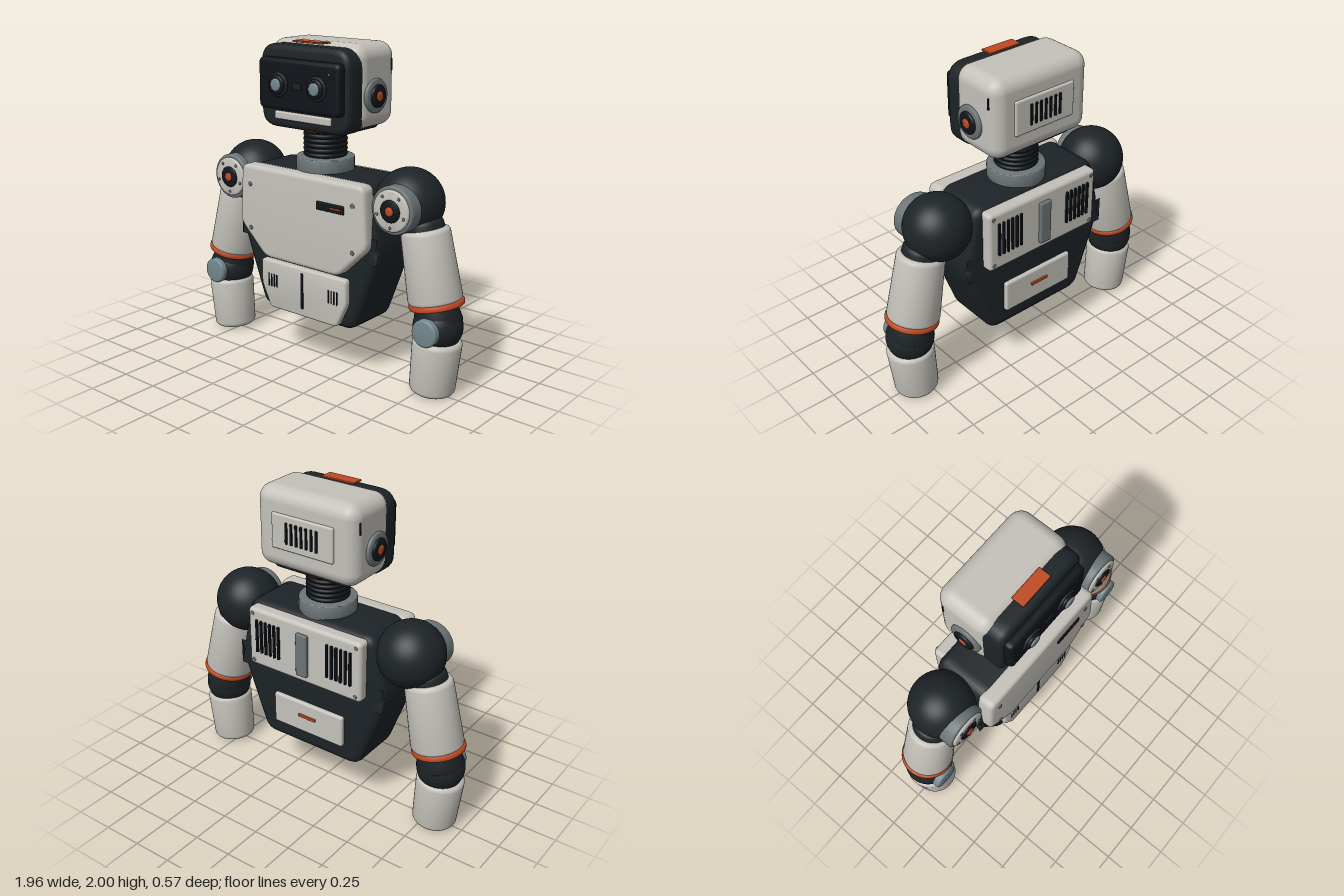
import * as THREE from 'three';
import { RoundedBoxGeometry } from 'three/addons/geometries/RoundedBoxGeometry.js';
import { toCreasedNormals } from 'three/addons/utils/BufferGeometryUtils.js';

const paint = (color) => new THREE.MeshStandardMaterial({ color });
const LIGHT = paint(0xc4c1ba), DARK = paint(0x1d2327), BLACK = paint(0x10151a);
const ORANGE = paint(0xc04a22), STEEL = paint(0x6c7476), GLASS = paint(0x72878d);

function add(parent, name, geo, mat, x = 0, y = 0, z = 0) {
  const m = new THREE.Mesh(geo, mat);
  m.name = name;
  m.position.set(x, y, z);
  parent.add(m);
  return m;
}

function group(parent, name) {
  const g = new THREE.Group();
  g.name = name;
  parent.add(g);
  return g;
}

// Rounded box given by its extents
function box(parent, name, mat, [x0, x1], [y0, y1], [z0, z1], r = 0.01, seg = 3) {
  const geo = new RoundedBoxGeometry(x1 - x0, y1 - y0, z1 - z0, seg, r);
  return add(parent, name, geo, mat, (x0 + x1) / 2, (y0 + y1) / 2, (z0 + z1) / 2);
}

// Bevelled slab with a mirrored outline; half holds the +x corners from top to bottom
function slab(parent, name, mat, half, z0, z1, bevel, corner) {
  const pts = [...half, ...half.map(([x, y]) => [-x, y]).reverse()].map((p) => new THREE.Vector2(...p));
  const shape = new THREE.Shape();
  pts.forEach((p, i) => {
    const prev = pts[(i + pts.length - 1) % pts.length], next = pts[(i + 1) % pts.length];
    const a = prev.clone().sub(p).setLength(corner).add(p);
    const b = next.clone().sub(p).setLength(corner).add(p);
    if (i) shape.lineTo(a.x, a.y); else shape.moveTo(a.x, a.y);
    shape.quadraticCurveTo(p.x, p.y, b.x, b.y);
  });
  shape.closePath();
  const geo = new THREE.ExtrudeGeometry(shape, {
    depth: z1 - z0 - 2 * bevel, bevelThickness: bevel, bevelSize: bevel,
    bevelOffset: -bevel, bevelSegments: 4, curveSegments: 6,
  });
  return add(parent, name, toCreasedNormals(geo, 0.6), mat, 0, 0, z0 + bevel);
}

// Disc between two depths along z, with softened rims
function disc(parent, name, mat, r, x, y, z0, z1) {
  const geo = roundedTube(r, r, z1 - z0, Math.min(0.012, (z1 - z0) * 0.4));
  geo.rotateX(Math.PI / 2);
  return add(parent, name, geo, mat, x, y, z0);
}

// Solid of revolution with rounded rims
function roundedTube(r0, r1, h, b) {
  const p = [[0, 0]];
  for (let i = 0; i <= 4; i++) {
    const t = (i / 4) * Math.PI / 2;
    p.push([r0 - b + b * Math.sin(t), b - b * Math.cos(t)]);
  }
  for (let i = 0; i <= 4; i++) {
    const t = (i / 4) * Math.PI / 2;
    p.push([r1 - b + b * Math.cos(t), h - b + b * Math.sin(t)]);
  }
  p.push([0, h]);
  return toCreasedNormals(new THREE.LatheGeometry(p.map((q) => new THREE.Vector2(...q)), 40), 0.6);
}

// Limb segment from one point to another
function limb(parent, name, mat, from, to, r0, r1, b) {
  const a = new THREE.Vector3(...from), d = new THREE.Vector3(...to).sub(a);
  const m = add(parent, name, roundedTube(r0, r1, d.length(), b), mat, ...from);
  m.quaternion.setFromUnitVectors(new THREE.Vector3(0, 1, 0), d.normalize());
  return m;
}

// Row of upright vent bars
function vents(parent, n, x0, x1, y, z, width = 0.013) {
  for (let i = 0; i < n; i++) {
    const x = x0 + ((x1 - x0) * i) / (n - 1);
    box(parent, 'ventBar', BLACK, [x - width / 2, x + width / 2], y, z, 0.004, 1);
  }
}

function buildTorso(root) {
  const torso = group(root, 'torso');
  slab(torso, 'torsoBody', DARK, [[0.45, 1.23], [0.53, 0.9], [0.53, 0.78], [0.355, 0.31]], -0.2, 0.18, 0.05, 0.07);
  // Front armour
  slab(torso, 'chestPlate', LIGHT, [[0.472, 1.23], [0.497, 0.86], [0.29, 0.66]], 0.13, 0.24, 0.025, 0.045);
  slab(torso, 'bellyPlate', LIGHT, [[0.337, 0.64], [0.337, 0.48], [0.265, 0.33]], 0.13, 0.22, 0.015, 0.025);
  box(torso, 'bellySlot', BLACK, [-0.01, 0.01], [0.38, 0.61], [0.2, 0.225], 0.005);
  box(torso, 'statusPanel', BLACK, [0.135, 0.34], [1.045, 1.097], [0.23, 0.248], 0.006);
  box(torso, 'statusLight', ORANGE, [0.24, 0.32], [1.066, 1.075], [0.24, 0.253], 0.003);
  for (const s of [-1, 1]) {
    vents(torso, 4, s * 0.207, s * 0.272, [0.47, 0.555], [0.2, 0.224], 0.009);
    for (const y of [0.83, 1.11]) disc(torso, 'chestScrew', STEEL, 0.014, s * 0.4, y, 0.23, 0.247);
    for (const y of [0.855, 1.175]) disc(torso, 'backScrew', STEEL, 0.013, s * 0.38, y, -0.267, -0.25);
    vents(torso, 6, s * 0.18, s * 0.345, [0.92, 1.14], [-0.275, -0.24], 0.016);
  }
  // Back panels
  box(torso, 'upperBackPanel', LIGHT, [-0.415, 0.415], [0.82, 1.21], [-0.262, -0.15], 0.025);
  box(torso, 'backSpineBar', STEEL, [-0.04, 0.04], [0.87, 1.15], [-0.285, -0.24], 0.008);
  box(torso, 'lowerBackPanel', LIGHT, [-0.26, 0.26], [0.43, 0.64], [-0.225, -0.15], 0.015);
  box(torso, 'backLight', ORANGE, [-0.065, 0.065], [0.54, 0.558], [-0.237, -0.21], 0.004);
}

function buildNeck(root) {
  const neck = group(root, 'neck');
  add(neck, 'collar', roundedTube(0.177, 0.177, 0.11, 0.008), STEEL, 0, 1.2, -0.005);
  add(neck, 'neckCore', new THREE.CylinderGeometry(0.118, 0.118, 0.24, 40), DARK, 0, 1.4, -0.005);
  for (let i = 0; i < 6; i++) {
    const ring = add(neck, 'bellowsRing', new THREE.TorusGeometry(0.12, 0.014, 10, 40), BLACK, 0, 1.325 + i * 0.029, -0.005);
    ring.rotation.x = Math.PI / 2;
  }
  add(neck, 'neckRing', roundedTube(0.145, 0.145, 0.02, 0.006), ORANGE, 0, 1.467, -0.005);
}

function buildHead(root) {
  const head = group(root, 'head');
  box(head, 'headShell', LIGHT, [-0.348, 0.348], [1.505, 1.997], [-0.245, 0.125], 0.085, 6);
  box(head, 'jaw', DARK, [-0.27, 0.27], [1.482, 1.6], [-0.185, 0.15], 0.03);
  slab(head, 'faceFrame', DARK, [[0.338, 1.975], [0.338, 1.482]], 0.04, 0.2, 0.035, 0.11);
  slab(head, 'visor', BLACK, [[0.307, 1.9], [0.307, 1.598]], 0.17, 0.25, 0.025, 0.035);
  box(head, 'mouthBar', LIGHT, [-0.215, 0.215], [1.536, 1.585], [0.18, 0.216], 0.012);
  box(head, 'topTab', ORANGE, [-0.112, 0.112], [1.989, 2], [0.085, 0.165], 0.004);
  box(head, 'faceSensor', DARK, [-0.032, 0.032], [1.73, 1.768], [0.24, 0.257], 0.004);
  disc(head, 'faceLight', ORANGE, 0.007, 0.235, 1.838, 0.24, 0.255);
  // Rear grille
  box(head, 'rearHeadPanel', LIGHT, [-0.215, 0.215], [1.645, 1.86], [-0.26, -0.2], 0.012);
  vents(head, 7, -0.105, 0.105, [1.69, 1.82], [-0.268, -0.24], 0.016);
  for (const s of [-1, 1]) {
    const eye = group(head, 'eye');
    disc(eye, 'eyeHousing', DARK, 0.072, s * 0.145, 1.75, 0.24, 0.262);
    disc(eye, 'eyeBarrel', BLACK, 0.057, s * 0.145, 1.75, 0.25, 0.275);
    disc(eye, 'eyeLens', GLASS, 0.038, s * 0.145, 1.75, 0.26, 0.285);
    // Ear built facing z, then turned outward
    const ear = group(head, 'ear');
    ear.position.set(0, 1.7, -0.03);
    ear.rotation.y = s * Math.PI / 2;
    disc(ear, 'earBase', STEEL, 0.1, 0, 0, 0.32, 0.367);
    disc(ear, 'earRing', BLACK, 0.067, 0, 0, 0.33, 0.382);
    disc(ear, 'earCap', ORANGE, 0.031, 0, 0, 0.35, 0.387);
    box(head, 'sideSlot', BLACK, s > 0 ? [0.33, 0.352] : [-0.352, -0.33], [1.83, 1.9], [-0.189, -0.181], 0.003, 1);
  }
}

function buildArm(root, s) {
  const arm = group(root, s > 0 ? 'leftArm' : 'rightArm');
  add(arm, 'shoulderBall', new THREE.SphereGeometry(0.203, 48, 32), DARK, s * 0.607, 1.115, -0.03);
  // Shoulder cap with screws
  const x = s * 0.628, y = 1.11;
  disc(arm, 'shoulderRim', STEEL, 0.142, x, y, 0.08, 0.178);
  disc(arm, 'shoulderCap', LIGHT, 0.122, x, y, 0.15, 0.192);
  disc(arm, 'shoulderHub', BLACK, 0.066, x, y, 0.18, 0.202);
  disc(arm, 'shoulderPin', ORANGE, 0.027, x, y, 0.19, 0.21);
  for (let i = 0; i < 5; i++) {
    const a = Math.PI * (-0.5 + i * 0.4);
    disc(arm, 'shoulderScrew', STEEL, 0.009, x + Math.cos(a) * 0.096, y + Math.sin(a) * 0.096, 0.185, 0.2);
  }
  // Upper arm, slanting outward
  limb(arm, 'armSocket', DARK, [s * 0.73, 0.9, -0.02], [s * 0.7, 1.035, -0.02], 0.13, 0.12, 0.03);
  limb(arm, 'upperArm', LIGHT, [s * 0.81, 0.555, -0.02], [s * 0.721, 0.985, -0.02], 0.16, 0.144, 0.03);
  limb(arm, 'armBand', ORANGE, [s * 0.82, 0.534, -0.02], [s * 0.812, 0.57, -0.02], 0.163, 0.163, 0.012);
  // Elbow
  limb(arm, 'elbowSleeve', DARK, [s * 0.835, 0.43, -0.018], [s * 0.81, 0.55, -0.02], 0.143, 0.125, 0.02);
  add(arm, 'elbowBall', new THREE.SphereGeometry(0.146, 40, 28), DARK, s * 0.835, 0.42, -0.012);
  disc(arm, 'elbowCap', GLASS, 0.082, s * 0.84, 0.42, 0.06, 0.15);
  // Forearm, slanting back inward
  limb(arm, 'forearm', LIGHT, [s * 0.808, 0.012, -0.008], [s * 0.838, 0.35, -0.008], 0.136, 0.146, 0.03);
}

export function createModel() {
  const root = new THREE.Group();
  root.name = 'robotBust';
  buildTorso(root);
  buildNeck(root);
  buildHead(root);
  for (const s of [1, -1]) buildArm(root, s);
  return root;
}
